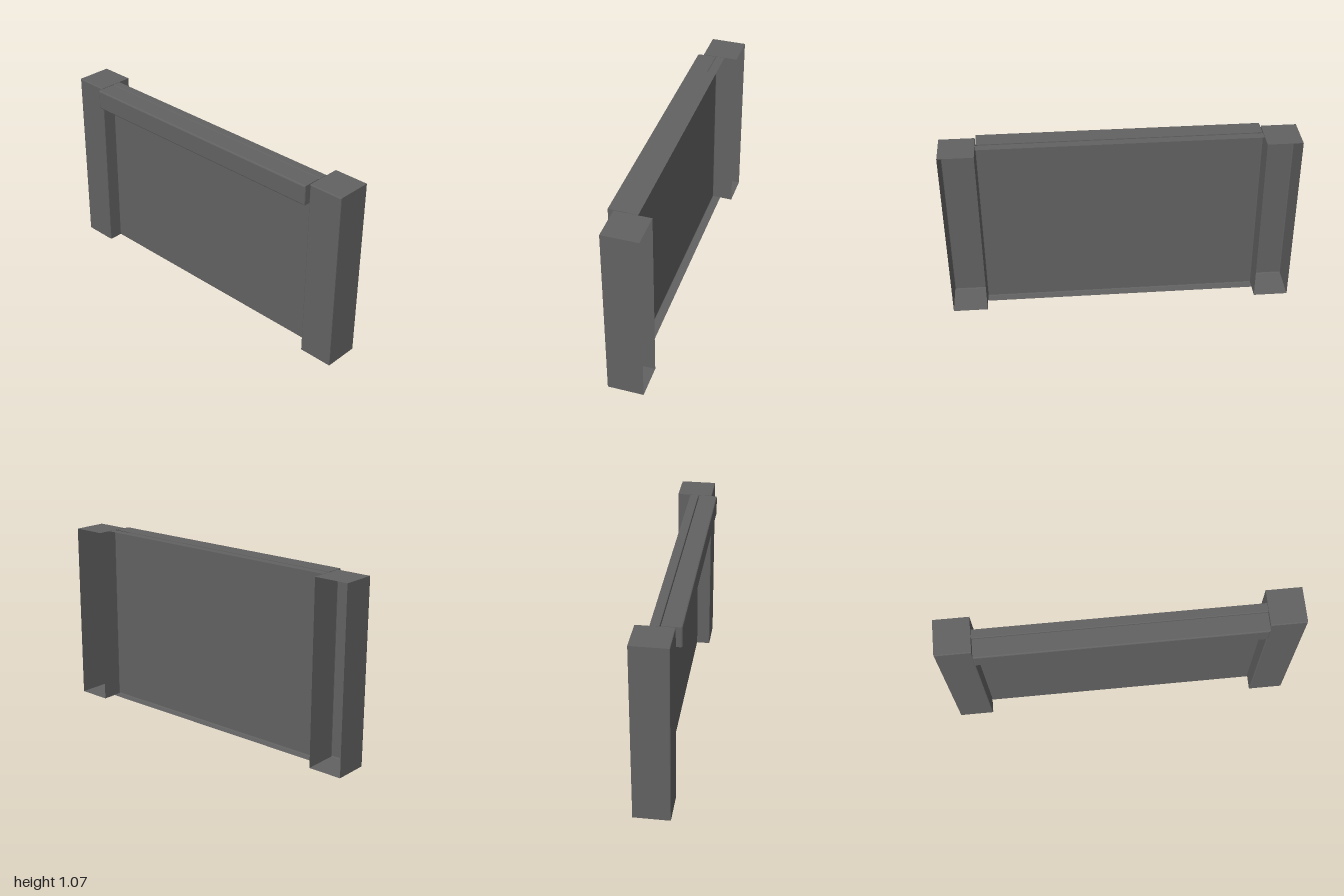
import * as THREE from 'three';

const grey = new THREE.MeshStandardMaterial({ color: 0x626262, side: THREE.DoubleSide });
grey.name = 'dark grey';

// Box shell, open at the back, with a narrow bevel round its front face.
function openBackShell(name, [x0, x1], [y0, y1], [z0, z1], bevel) {
  const ring = (inset, z) => [
    [x0 + inset, y0 + inset, z], [x1 - inset, y0 + inset, z],
    [x1 - inset, y1 - inset, z], [x0 + inset, y1 - inset, z],
  ];
  const rings = [ring(0, z0), ring(0, z1 - bevel), ring(bevel * 0.3, z1 - bevel * 0.3), ring(bevel, z1)];
  const positions = [];
  const quad = (a, b, c, d) => positions.push(...a, ...b, ...c, ...a, ...c, ...d);

  // Walls and bevel
  for (let r = 0; r < rings.length - 1; r++) {
    for (let i = 0; i < 4; i++) {
      const j = (i + 1) % 4;
      quad(rings[r][i], rings[r][j], rings[r + 1][j], rings[r + 1][i]);
    }
  }
  // Front face
  quad(...rings[rings.length - 1]);

  const geometry = new THREE.BufferGeometry();
  geometry.setAttribute('position', new THREE.Float32BufferAttribute(positions, 3));
  geometry.computeVertexNormals();
  const mesh = new THREE.Mesh(geometry, grey);
  mesh.name = name;
  return mesh;
}

export function createModel() {
  const model = new THREE.Group();
  model.name = 'panelBetweenPosts';
  const height = 1.065;

  // Hollow end posts
  model.add(openBackShell('leftPost', [0.8, 1], [0, height], [-0.12, 0.087], 0.005));
  model.add(openBackShell('rightPost', [-1, -0.8], [0, height], [-0.12, 0.087], 0.005));

  // Wide recessed panel
  model.add(openBackShell('panel', [-0.798, 0.798], [0.003, height], [-0.045, 0.006], 0.004));

  // Top rail on the front of the panel
  model.add(openBackShell('topRail', [-0.795, 0.795], [0.95, height], [0.011, 0.12], 0.007));

  return model;
}
